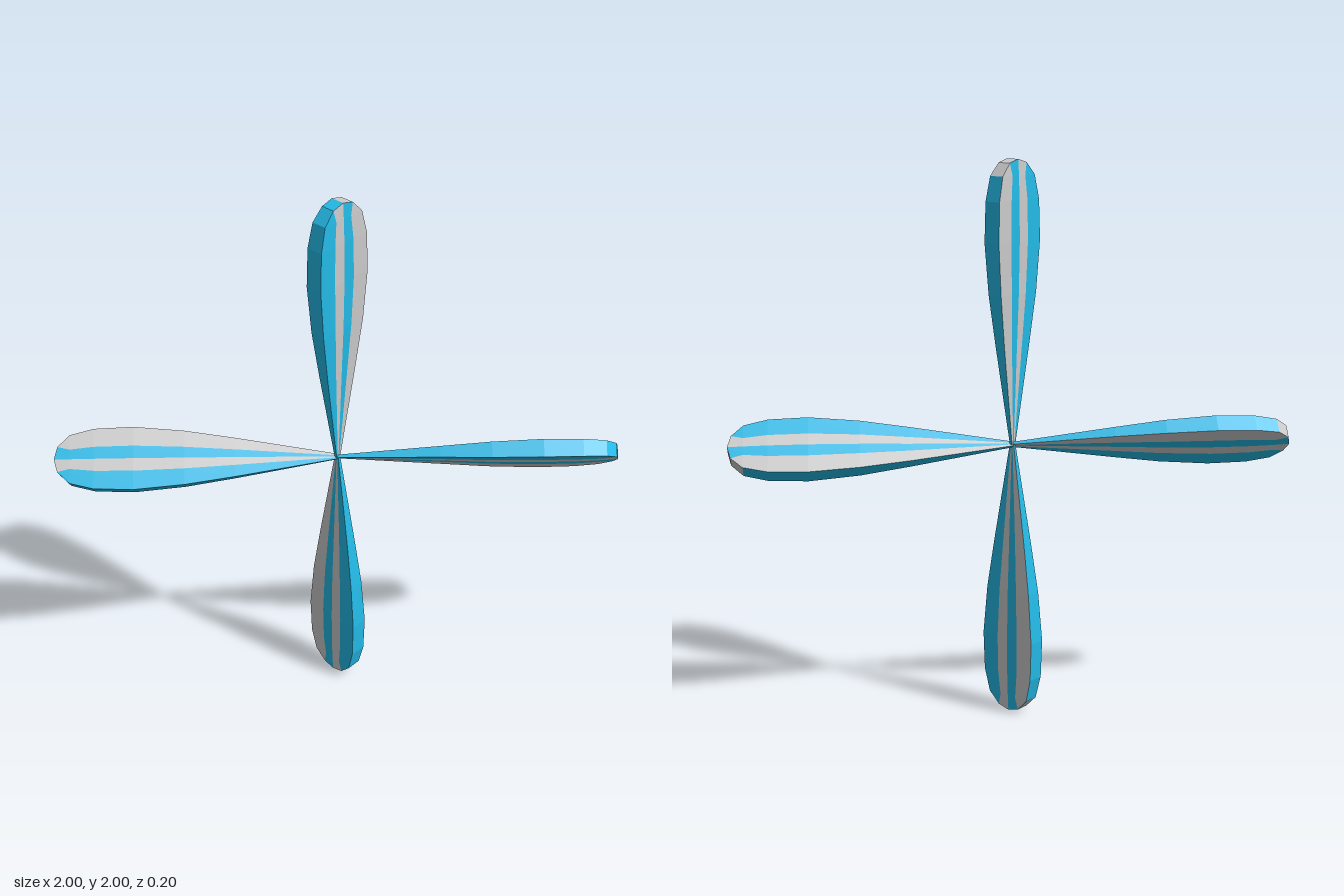
import * as THREE from 'three';

// blade stations from hub to tip: [radius, half width, half thickness]
const STATIONS = [
  [0, 0.009, 0.005],
  [0.36, 0.069, 0.020],
  [0.54, 0.096, 0.028],
  [0.72, 0.112, 0.032],
  [0.86, 0.107, 0.031],
  [0.945, 0.086, 0.028],
  [0.988, 0.045, 0.025],
];

// five points across one side of the blade; the last row closes into a blunt tip
function row(i, side) {
  const [r, w, t] = STATIONS[i];
  const last = i === STATIONS.length - 1;
  const inner = last ? w : 0.4 * w;
  return [-w, -inner, 0, inner, w].map((x, c) =>
    new THREE.Vector3(x, last && c === 2 ? 1 : r, side * t));
}

function toGeometry(points) {
  const g = new THREE.BufferGeometry().setFromPoints(points);
  g.computeVertexNormals();
  return g;
}

// striped blade pointing up +y, returned as [blue, grey] geometries
function bladeGeometries() {
  const tris = [[], []];
  const quad = (k, a, b, c, d) => tris[k].push(a, b, c, a, c, d);
  const n = STATIONS.length - 1;
  for (let i = 0; i < n; i++) {
    const f0 = row(i, 1), f1 = row(i + 1, 1), b0 = row(i, -1), b1 = row(i + 1, -1);
    // alternating stripes on both broad faces
    for (let c = 0; c < 4; c++) {
      quad(c % 2, f0[c], f0[c + 1], f1[c + 1], f1[c]);
      quad(c % 2, b0[c + 1], b0[c], b1[c], b1[c + 1]);
    }
    // narrow edges
    quad(0, b0[0], f0[0], f1[0], b1[0]);
    quad(i === n - 1 ? 1 : 0, f0[4], b0[4], b1[4], f1[4]);
  }
  // tip and root ends
  const f = row(n, 1), b = row(n, -1), rf = row(0, 1), rb = row(0, -1);
  quad(0, f[1], f[2], b[2], b[1]);
  quad(1, f[2], f[3], b[3], b[2]);
  tris[0] = tris[0].slice();
  quad(0, rb[0], rb[4], rf[4], rf[0]);
  return tris.map(toGeometry);
}

export function createModel() {
  const model = new THREE.Group();
  model.name = 'propeller';
  const materials = [0x24bbe8, 0xcccccc].map(color =>
    new THREE.MeshStandardMaterial({ color, flatShading: true }));
  const geometries = bladeGeometries();
  geometries.forEach(g => g.rotateY(Math.PI / 4)); // blade pitch

  // four blades around the hub
  for (let i = 0; i < 4; i++) {
    const blade = new THREE.Group();
    blade.name = `blade${i + 1}`;
    geometries.forEach((g, k) => {
      const mesh = new THREE.Mesh(g, materials[k]);
      mesh.name = k ? 'greyStripes' : 'blueStripes';
      blade.add(mesh);
    });
    blade.position.y = 1;
    blade.rotation.z = i * Math.PI / 2;
    model.add(blade);
  }
  return model;
}
